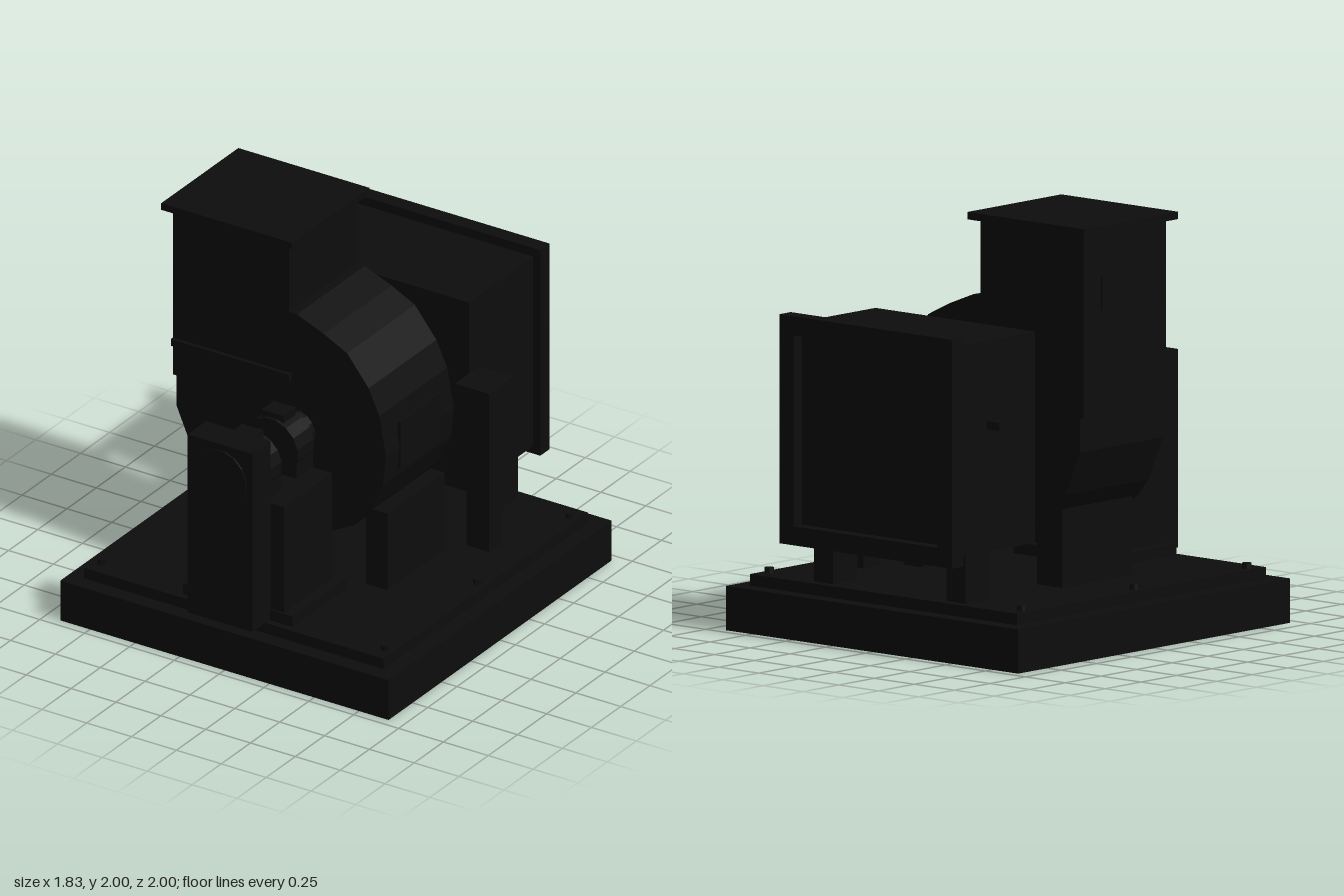
import * as THREE from 'three';

export function createModel() {
  const model = new THREE.Group();
  const black = new THREE.MeshStandardMaterial({ color: 0x0d0d0d, flatShading: true });
  black.name = 'black';

  const add = (name, geometry, x = 0, y = 0, z = 0) => {
    const mesh = new THREE.Mesh(geometry, black);
    mesh.name = name;
    mesh.position.set(x, y, z);
    model.add(mesh);
    return mesh;
  };
  // Box given by its limits on each axis
  const box = (name, x0, x1, y0, y1, z0, z1) =>
    add(name, new THREE.BoxGeometry(x1 - x0, y1 - y0, z1 - z0), (x0 + x1) / 2, (y0 + y1) / 2, (z0 + z1) / 2);
  // Sixteen-sided cylinder along z with a flat on top
  const drum = (name, r, y, z0, z1) => {
    const g = new THREE.CylinderGeometry(r, r, z1 - z0, 16);
    g.rotateY(Math.PI / 16).rotateX(Math.PI / 2);
    return add(name, g, 0, y, (z0 + z1) / 2);
  };
  // Closed outline pushed along z
  const extrude = (name, shape, z0, z1) =>
    add(name, new THREE.ExtrudeGeometry(shape, { depth: z1 - z0, bevelEnabled: false }), 0, 0, z0);

  // Base, bed plate and bolts
  box('base', -0.915, 0.915, 0, 0.21, -0.955, 0.955);
  box('bedPlate', -0.835, 0.835, 0.21, 0.265, -0.875, 0.875);
  for (const x of [-0.79, 0.79]) for (const z of [-0.79, 0, 0.79])
    add('bolt', new THREE.CylinderGeometry(0.022, 0.022, 0.03, 8), x, 0.277, z);

  // Scroll housing
  const outline = [
    [-0.69, 1.09], [-0.67, 1.09], [-0.67, 0.93], [-0.58, 0.72], [-0.52, 0.64], [-0.38, 0.55], [-0.2, 0.495],
    [0, 0.48], [0.17, 0.505], [0.32, 0.585], [0.42, 0.7], [0.48, 0.84], [0.497, 1], [0.46, 1.2],
    [0.4, 1.33], [0.28, 1.48], [0.15, 1.545], [0, 1.605], [-0.045, 1.605], [-0.045, 1.7], [-0.69, 1.7],
  ];
  extrude('scrollHousing', new THREE.Shape(outline.map(([x, y]) => new THREE.Vector2(x, y))), -0.245, 0.335);
  box('accessDoor', 0.485, 0.502, 0.88, 1.13, -0.13, 0.22);

  // Outlet duct
  box('outletDuct', -0.69, -0.045, 1.6, 1.97, -0.245, 0.335);
  box('outletFlange', -0.73, 0, 1.965, 2, -0.285, 0.375);
  box('ductRib', -0.69, -0.03, 1.25, 1.285, 0.33, 0.355);
  box('ductPlate', -0.697, -0.685, 1.59, 1.75, -0.12, -0.02);

  // Housing feet
  box('rightFoot', -0.52, -0.36, 0.26, 0.67, -0.2, 0.29);
  box('leftFoot', 0.355, 0.475, 0.26, 0.67, -0.2, 0.29);

  // Inlet collar and inlet box
  drum('inletCollar', 0.382, 1, -0.39, -0.24);
  box('inletBox', -0.5, 0.5, 0.5, 1.5, -0.94, -0.37);
  const frame = new THREE.Shape();
  frame.moveTo(-0.54, 0.46).lineTo(0.54, 0.46).lineTo(0.54, 1.545).lineTo(-0.54, 1.545).closePath();
  const opening = new THREE.Path();
  opening.moveTo(-0.45, 0.55).lineTo(-0.45, 1.455).lineTo(0.45, 1.455).lineTo(0.45, 0.55).closePath();
  frame.holes.push(opening);
  extrude('inletFrame', frame, -1, -0.92);
  box('inletKnob', -0.58, -0.5, 1.08, 1.12, -0.71, -0.67);
  for (const s of [-1, 1])
    add('inletBoxLeg', new THREE.BoxGeometry(0.12, 0.25, 0.17), s * 0.415, 0.385, -0.745);

  // Control post and box
  box('controlPost', 0.54, 0.665, 0.26, 0.95, -0.41, -0.29);
  box('controlBox', 0.5, 0.69, 0.925, 1.125, -0.46, -0.25);

  // Bearing pedestal, shaft and bearings
  box('pedestalPlate', -0.305, 0.305, 0.26, 0.32, 0.38, 0.84);
  box('pedestal', -0.25, 0.25, 0.3, 0.877, 0.42, 0.83);
  drum('shaft', 0.102, 1, 0.32, 0.44);
  for (const [z0, z1] of [[0.42, 0.56], [0.695, 0.84]]) {
    box('bearingBase', -0.145, 0.145, 0.87, 1, z0, z1);
    drum('bearing', 0.153, 1, z0, z1);
    box('bearingCap', -0.06, 0.06, 1.1, 1.177, z0 + 0.017, z1 - 0.017);
  }

  // Drive guard
  box('driveGuard', -0.18, 0.18, 0.27, 1.21, 0.835, 0.993);
  drum('guardDisc', 0.15, 1.03, 0.992, 1);

  return model;
}
